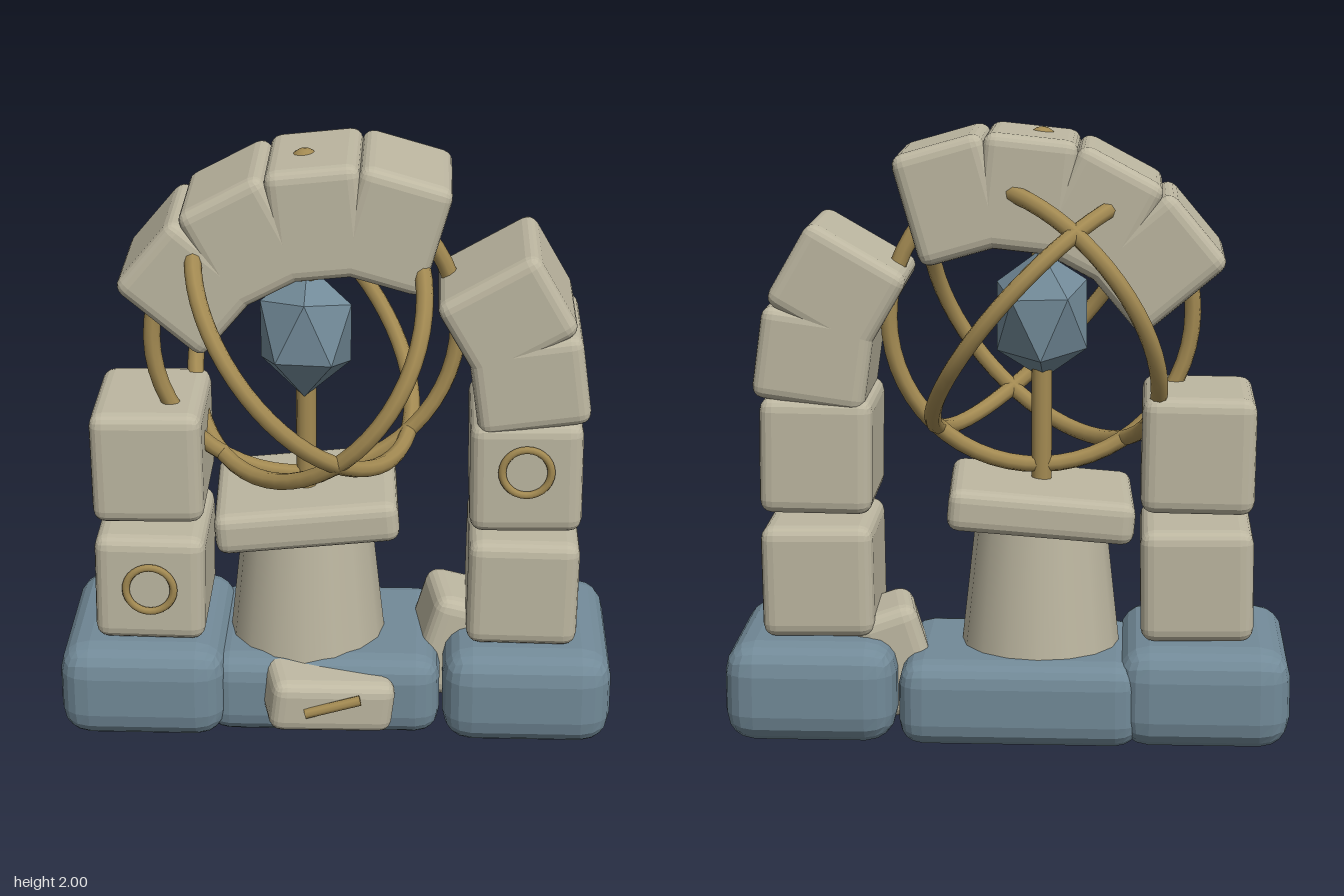
import * as THREE from 'three';
import { RoundedBoxGeometry } from 'three/addons/geometries/RoundedBoxGeometry.js';

export function createModel() {
  const group = new THREE.Group();
  const mat = (name, color) => Object.assign(new THREE.MeshStandardMaterial({ color }), { name });
  const stone = mat('paleStone', 0xbdb7a1);
  const slate = mat('blueSlate', 0x728a98);
  const brass = mat('agedBrass', 0xa38a52);

  const add = (name, geometry, material, pos, rot = [0, 0, 0]) => {
    const mesh = new THREE.Mesh(geometry, material);
    mesh.name = name;
    mesh.position.set(...pos);
    mesh.rotation.set(...rot);
    group.add(mesh);
    return mesh;
  };
  // Block with faceted, bevelled edges
  const block = (name, size, radius, material, pos, rot) => {
    const g = new RoundedBoxGeometry(...size, 2, radius);
    g.computeVertexNormals();
    return add(name, g, material, pos, rot);
  };

  // Foundation
  block('rightFooting', [0.56, 0.335, 0.7], 0.1, slate, [-0.655, 0.168, -0.04]);
  block('leftFooting', [0.565, 0.335, 0.7], 0.1, slate, [0.638, 0.168, -0.04]);
  block('middleFooting', [0.79, 0.285, 0.64], 0.08, slate, [-0.05, 0.143, -0.07]);

  // Pillars of two blocks each
  const depth = 0.48, zMid = -0.03;
  for (const [side, x, upperY] of [['right', -0.628, 0.957], ['left', 0.618, 0.945]]) {
    block(side + 'PillarLower', [0.37, 0.375, depth], 0.045, stone, [x, 0.523, zMid], [0, 0, -0.012]);
    block(side + 'PillarUpper', [0.37, 0.385, depth], 0.045, stone, [x, upperY, zMid], [0, 0, 0.012]);
  }

  // Broken arch: two stones are missing from the ring of eight
  const archY = 1.18, archR = 0.628;
  for (const degrees of [8, 30, 74, 96, 118, 140]) {
    const a = THREE.MathUtils.degToRad(degrees);
    block('archStone', [0.37, 0.305, depth], 0.04, stone,
      [archR * Math.cos(a), archY + archR * Math.sin(a), zMid], [0, 0, a]);
  }

  // Pedestal with a tilted cap
  add('pedestal', new THREE.CylinderGeometry(0.215, 0.268, 0.48, 16), stone, [-0.11, 0.48, -0.045]);
  block('pedestalCap', [0.61, 0.14, 0.54], 0.04, stone, [-0.11, 0.76, -0.04], [0, 0.04, 0.085]);

  // Spindle, finial and crystal
  const cx = -0.11, cy = 1.38;
  add('spindle', new THREE.CylinderGeometry(0.034, 0.034, 1.18, 12), brass, [cx, 1.39, 0]);
  add('finial', new THREE.SphereGeometry(0.05, 12, 8), brass, [cx, 1.95, 0]);
  const crystal = new THREE.IcosahedronGeometry(0.175, 0);
  crystal.rotateY(0.35);
  crystal.rotateZ(0.5);
  crystal.scale(1, 1.28, 1);
  crystal.computeVertexNormals();
  add('crystal', crystal, slate, [cx, cy, 0]);

  // Three crossing rings, each set by its axis
  const zAxis = new THREE.Vector3(0, 0, 1);
  for (const axis of [[0.72, 0.62, 0.3], [0.64, -0.48, -0.6], [0.15, 0, 0.98]]) {
    const ring = add('orbitRing', new THREE.TorusGeometry(0.505, 0.028, 8, 56), brass, [cx, cy, 0]);
    ring.quaternion.setFromUnitVectors(zAxis, new THREE.Vector3(...axis).normalize());
  }

  // Ring ornaments on the pillars
  for (const [x, y] of [[-0.625, 0.535], [0.617, 0.98]]) {
    add('ringOrnament', new THREE.TorusGeometry(0.08, 0.013, 8, 28), brass, [x, y, 0.221]);
  }

  // Fallen stones
  block('fallenFrontStone', [0.42, 0.185, 0.28], 0.045, stone, [-0.033, 0.165, 0.215], [0.05, 0.2, -0.12]);
  add('fallenStoneBar', new THREE.CylinderGeometry(0.018, 0.018, 0.19, 8), brass,
    [-0.01, 0.18, 0.362], [0, 0.1, Math.PI / 2 + 0.23]);
  block('fallenRearStone', [0.22, 0.36, 0.3], 0.05, stone, [0.375, 0.24, -0.08], [0, 0.15, -0.3]);

  return group;
}
